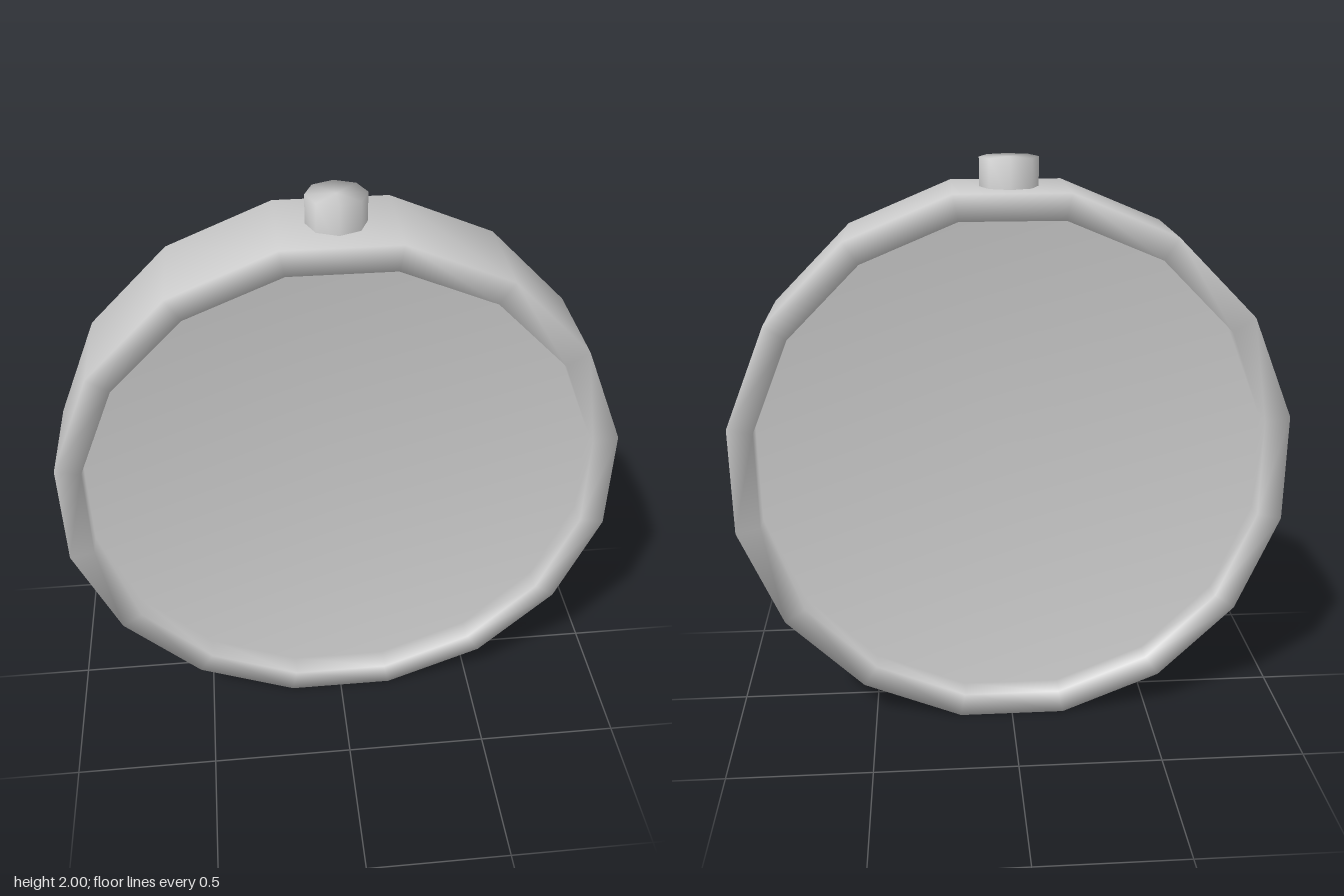
import * as THREE from 'three';
import { mergeVertices } from 'three/addons/utils/BufferGeometryUtils.js';

const CENTER_Y = 0.953;
const OUTER_R = 0.971, INNER_R = 0.883;
const HALF_DEPTH = 0.178, FLOOR_Z = 0.1;

// Turned solid with one shared, smooth normal per corner
function smoothLathe(points, sides, phase = 0) {
  const geometry = new THREE.LatheGeometry(points.map(([r, y]) => new THREE.Vector2(r, y)), sides, phase);
  geometry.deleteAttribute('normal');
  geometry.deleteAttribute('uv');
  const merged = mergeVertices(geometry, 1e-5);
  merged.computeVertexNormals();
  return merged;
}

export function createModel() {
  const model = new THREE.Group();
  const material = new THREE.MeshStandardMaterial({ color: 0xcccccc });

  function add(name, geometry) {
    const mesh = new THREE.Mesh(geometry, material);
    mesh.name = name;
    model.add(mesh);
    return mesh;
  }

  // Round case: outer band, flat rim, straight inner wall and sunken floor on both sides
  const half = [[OUTER_R, HALF_DEPTH], [INNER_R, HALF_DEPTH], [INNER_R, FLOOR_Z], [0, FLOOR_Z]];
  const profile = [...half.map(([r, z]) => [r, -z]).reverse(), ...half];
  const sides = 16;
  const roundCase = add('roundCase', smoothLathe(profile, sides, Math.PI / sides)); // flat facet on top
  roundCase.rotation.x = Math.PI / 2;
  roundCase.position.y = CENTER_Y;

  // Eight-sided knob on top
  add('topKnob', smoothLathe([[0.098, 1.85], [0.098, 2], [0, 2]], 8));

  return model;
}
